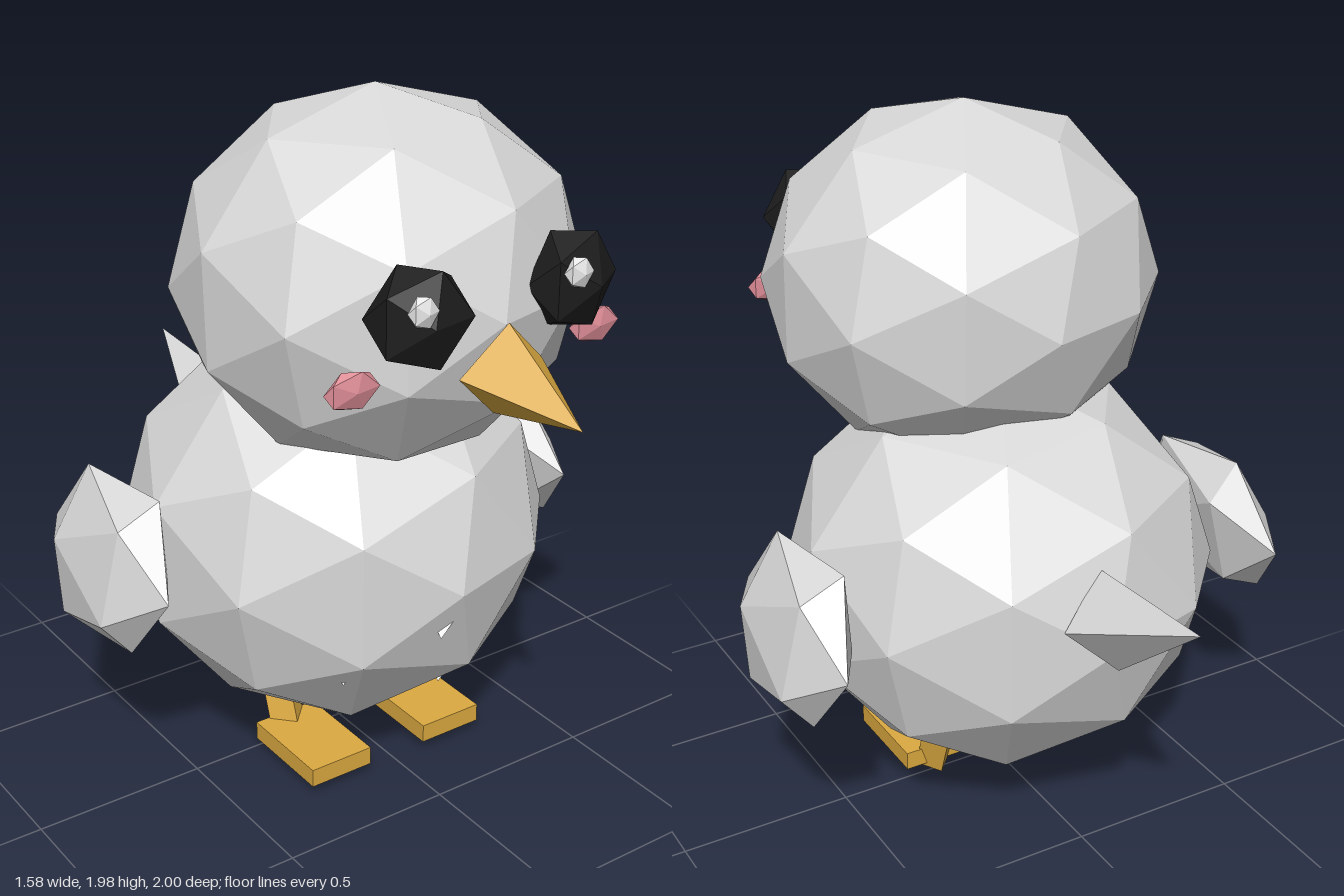
import * as THREE from 'three';

const material = (name, color) => {
  const m = new THREE.MeshStandardMaterial({ color, flatShading: true });
  m.name = name;
  return m;
};

export function createModel() {
  const group = new THREE.Group();
  const down = material('down grey', 0xd8d8d8);
  const horn = material('beak yellow', 0xdba940);
  const black = material('eye black', 0x1c1c1c);
  const pink = material('cheek pink', 0xdd8c96);
  const glint = material('glint white', 0xe6e6e6);

  const add = (name, geometry, mat, [x, y, z]) => {
    const mesh = new THREE.Mesh(geometry, mat);
    mesh.name = name;
    mesh.position.set(x, y, z);
    group.add(mesh);
    return mesh;
  };

  // Faceted ball with its pole facing the front, scaled to an ellipsoid
  const ball = (detail, rx, ry, rz) => {
    const g = new THREE.IcosahedronGeometry(1, detail);
    g.rotateX(Math.atan(2 / (1 + Math.sqrt(5))));
    g.rotateZ(Math.PI / 2);
    return g.scale(rx, ry, rz);
  };

  // Four-sided spike between a base centre and a tip
  const spike = (name, mat, radius, base, tip) => {
    const a = new THREE.Vector3(...base), b = new THREE.Vector3(...tip);
    const axis = b.clone().sub(a);
    const mesh = add(name, new THREE.ConeGeometry(radius, axis.length(), 4), mat,
      a.clone().add(b).multiplyScalar(0.5).toArray());
    mesh.quaternion.setFromUnitVectors(new THREE.Vector3(0, 1, 0), axis.normalize());
  };

  // Body and head
  add('body', ball(1, 0.615, 0.58, 0.61), down, [0, 0.68, -0.03]);
  const head = add('head', ball(1, 0.56, 0.505, 0.53), down, [0, 1.475, 0.18]);
  head.rotation.x = -0.04;

  // Beak and tail
  spike('beak', horn, 0.13, [0, 1.377, 0.695], [0, 1.32, 1]);
  spike('tail', down, 0.138, [0, 0.77, -0.605], [0, 0.93, -1]);

  // Small tufts just breaking the belly surface
  [[-0.02, 0.58, 0.52, 0.05], [-0.26, 0.43, 0.4, 0.025], [0.08, 0.34, 0.385, 0.05]]
    .forEach(([x, y, z, r]) => {
      add('bellyTuft', new THREE.TetrahedronGeometry(r), down, [x, y, z]);
    });

  // Paired parts
  for (const s of [-1, 1]) {
    const side = s > 0 ? 'left' : 'right';

    const eye = add(side + 'Eye', ball(0, 0.143, 0.146, 0.095), black, [s * 0.237, 1.555, 0.67]);
    eye.rotation.y = s * 0.2;
    add(side + 'EyeGlint', ball(0, 0.043, 0.045, 0.025), glint, [s * 0.237 - 0.045, 1.602, 0.747]);
    add(side + 'Cheek', ball(0, 0.084, 0.056, 0.025), pink, [s * 0.383, 1.38, 0.605]);

    const wing = add(side + 'Wing', ball(0, 0.112, 0.262, 0.32), down, [s * 0.68, 0.695, -0.12]);
    wing.rotation.z = s * 0.24;

    const leg = add(side + 'Leg', new THREE.CylinderGeometry(0.057, 0.057, 0.17, 4), horn,
      [s * 0.195, 0.097, 0]);
    leg.rotation.x = -0.33;
    add(side + 'Foot', new THREE.BoxGeometry(0.2, 0.055, 0.295), horn, [s * 0.195, 0.052, 0.148]);
  }

  return group;
}
